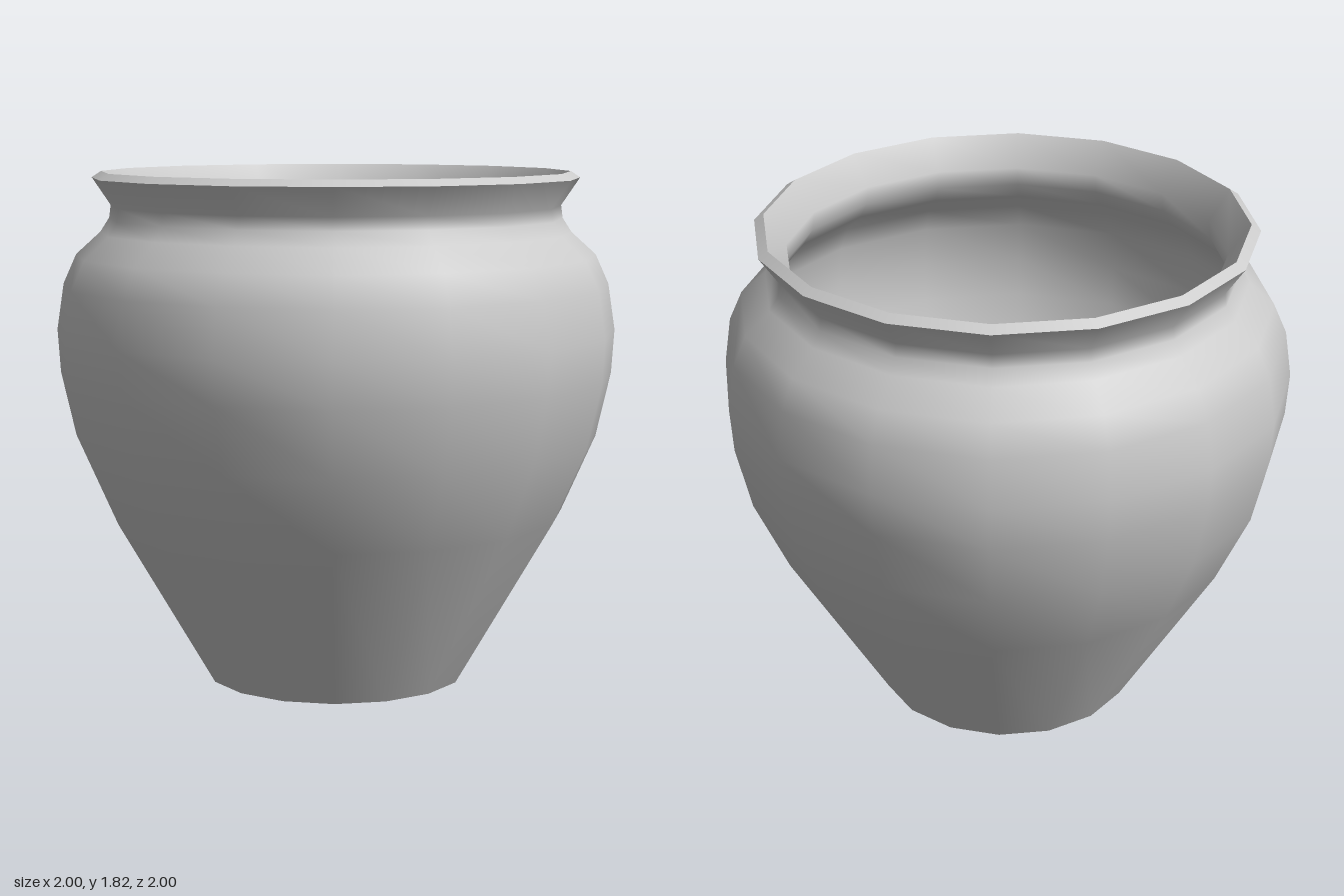
import * as THREE from 'three';

const SIDES = 16;
const WALL = 0.04;

// Outer profile from foot to lip: [radius, height]
const PROFILE = [
  [0.467, 0], [0.818, 0.6], [0.938, 0.87], [0.99, 1.1], [1, 1.255], [0.975, 1.42],
  [0.928, 1.525], [0.84, 1.605], [0.808, 1.655], [0.802, 1.7], [0.868, 1.798],
].map(([r, y]) => new THREE.Vector2(r, y));

// Move every profile point inward by the wall thickness, keeping the wall even
function offsetProfile(points, distance) {
  const normal = (a, b) => new THREE.Vector2(a.y - b.y, b.x - a.x).normalize();
  return points.map((p, i) => {
    const n1 = normal(points[Math.max(i - 1, 0)], points[Math.max(i, 1)]);
    const last = points.length - 1;
    const n2 = normal(points[Math.min(i, last - 1)], points[Math.min(i + 1, last)]);
    const miter = n1.clone().add(n2).normalize();
    return p.clone().addScaledVector(miter, distance / miter.dot(n1));
  });
}

export function createModel() {
  const pot = new THREE.Group();
  pot.name = 'pot';
  const material = new THREE.MeshStandardMaterial({ color: 0xcccccc });

  const addLathe = (name, points) => {
    const mesh = new THREE.Mesh(new THREE.LatheGeometry(points, SIDES), material);
    mesh.name = name;
    pot.add(mesh);
  };

  // Inner wall stops at the floor, one wall thickness above the ground
  const inner = offsetProfile(PROFILE, WALL);
  const t = (WALL - inner[0].y) / (inner[1].y - inner[0].y);
  inner[0].lerp(inner[1], t);

  const lip = PROFILE[PROFILE.length - 1];
  const innerLip = inner[inner.length - 1];

  // Separate lathes keep the edges at foot, lip and floor sharp
  addLathe('base', [new THREE.Vector2(0, 0), PROFILE[0]]);
  addLathe('outerWall', PROFILE);
  addLathe('rim', [lip, innerLip]);
  addLathe('innerWall', [...inner].reverse());
  addLathe('floor', [inner[0], new THREE.Vector2(0, WALL)]);

  return pot;
}
